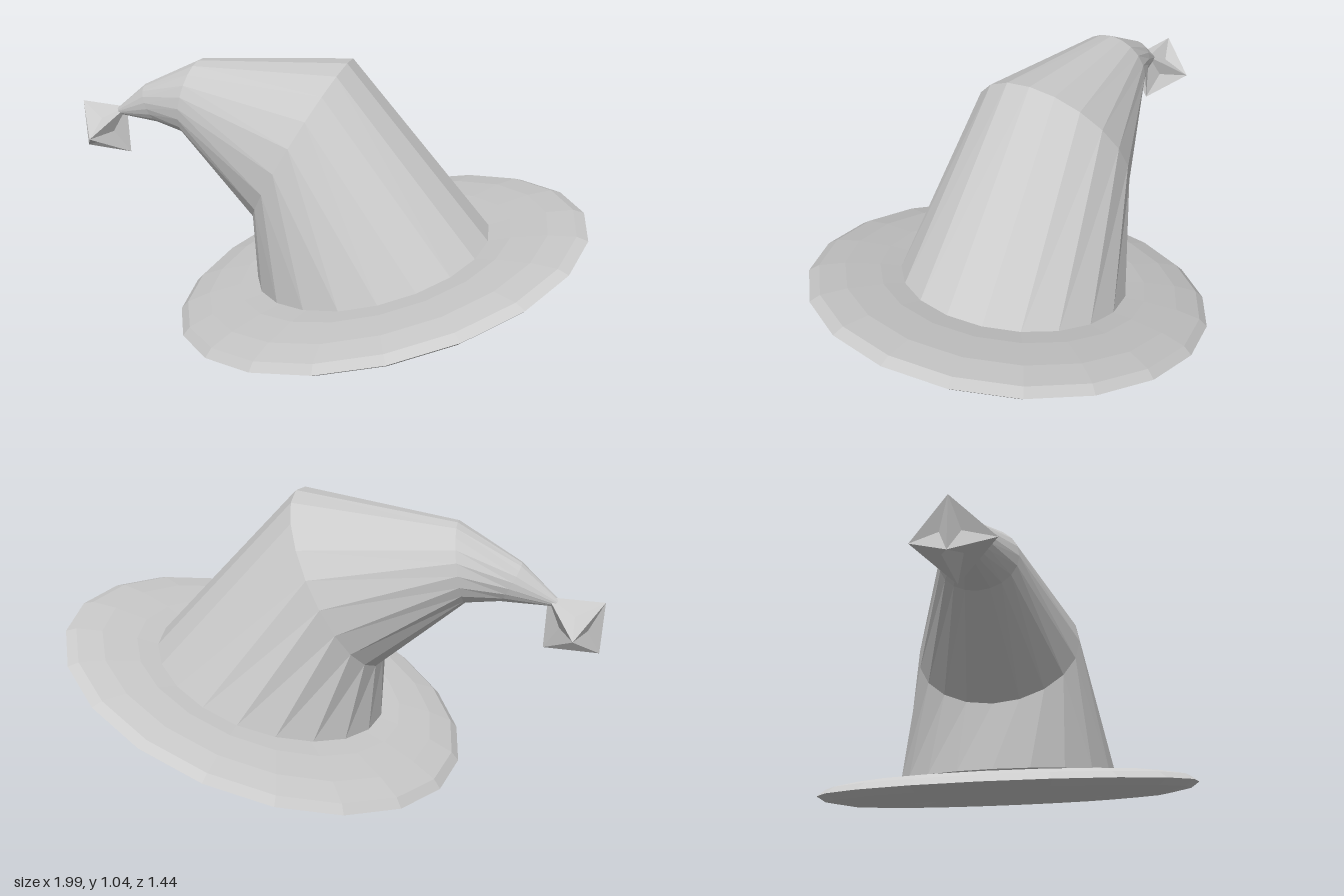
import * as THREE from 'three';

const SIDES = 20;
const material = () => new THREE.MeshStandardMaterial({
  color: 0xcccccc, flatShading: true, side: THREE.DoubleSide,
});

function makeMesh(name, geometry) {
  const mesh = new THREE.Mesh(geometry, material());
  mesh.name = name;
  return mesh;
}

function fromTriangles(points, index) {
  const geometry = new THREE.BufferGeometry();
  geometry.setAttribute('position', new THREE.Float32BufferAttribute(points, 3));
  geometry.setIndex(index);
  geometry.computeVertexNormals();
  return geometry;
}

// Elliptical cross-sections: outer edge (ax, ay), inner edge (bx, by), half width w, z offset
function loftRings(rings) {
  const points = [], index = [];
  rings.forEach(([ax, ay, bx, by, w, z]) => {
    for (let j = 0; j < SIDES; j++) {
      const t = (j / SIDES) * Math.PI * 2, c = Math.cos(t) / 2;
      points.push((ax + bx) / 2 + (ax - bx) * c, (ay + by) / 2 + (ay - by) * c, z + w * Math.sin(t));
    }
  });
  for (let i = 0; i < rings.length - 1; i++) {
    for (let j = 0; j < SIDES; j++) {
      const k = (j + 1) % SIDES;
      const a = i * SIDES + j, b = i * SIDES + k;
      index.push(a, a + SIDES, b, b, a + SIDES, b + SIDES);
    }
  }
  return fromTriangles(points, index);
}

// Six-pointed spatial star: each octant has an inner corner joined to its three spikes
function spikyStar(radius, inner) {
  const points = [], index = [];
  for (const x of [1, -1]) for (const y of [1, -1]) for (const z of [1, -1]) {
    const tips = [[x * radius, 0, 0], [0, y * radius, 0], [0, 0, z * radius]];
    const corner = [x * inner, y * inner, z * inner];
    for (let i = 0; i < 3; i++) {
      const pair = [tips[i], tips[(i + 1) % 3]];
      if (x * y * z < 0) pair.reverse();
      const n = points.length / 3;
      points.push(...corner, ...pair[0], ...pair[1]);
      index.push(n, n + 1, n + 2);
    }
  }
  return fromTriangles(points, index);
}

export function createModel() {
  const hat = new THREE.Group();
  hat.name = 'pointedHat';

  // Brim: flattened ring, tilted to one side
  const brimGeometry = new THREE.TorusGeometry(0.482, 0.24, 12, SIDES);
  brimGeometry.rotateX(Math.PI / 2);
  brimGeometry.scale(1.108, 0.19, 1);
  const brim = makeMesh('brim', brimGeometry);
  brim.position.set(0.235, 0.262, 0);
  brim.rotation.z = 0.312;
  hat.add(brim);

  // Crown: open at the base, folded over and tapering to a drooping tip
  hat.add(makeMesh('crown', loftRings([
    [0.66, 0.43, -0.22, 0.175, 0.41, 0],
    [0.11, 1.05, -0.22, 0.42, 0.305, 0],
    [-0.47, 0.985, -0.52, 0.7, 0.14, -0.01],
    [-0.7, 0.86, -0.635, 0.715, 0.07, -0.015],
    [-0.835, 0.74, -0.815, 0.715, 0.016, -0.022],
    [-0.835, 0.722, -0.835, 0.722, 0, -0.022],
  ])));

  // Star hanging from the tip
  const star = makeMesh('tipStar', spikyStar(0.137, 0.034));
  star.position.set(-0.895, 0.65, -0.025);
  star.rotation.z = Math.PI / 4;
  hat.add(star);

  return hat;
}
